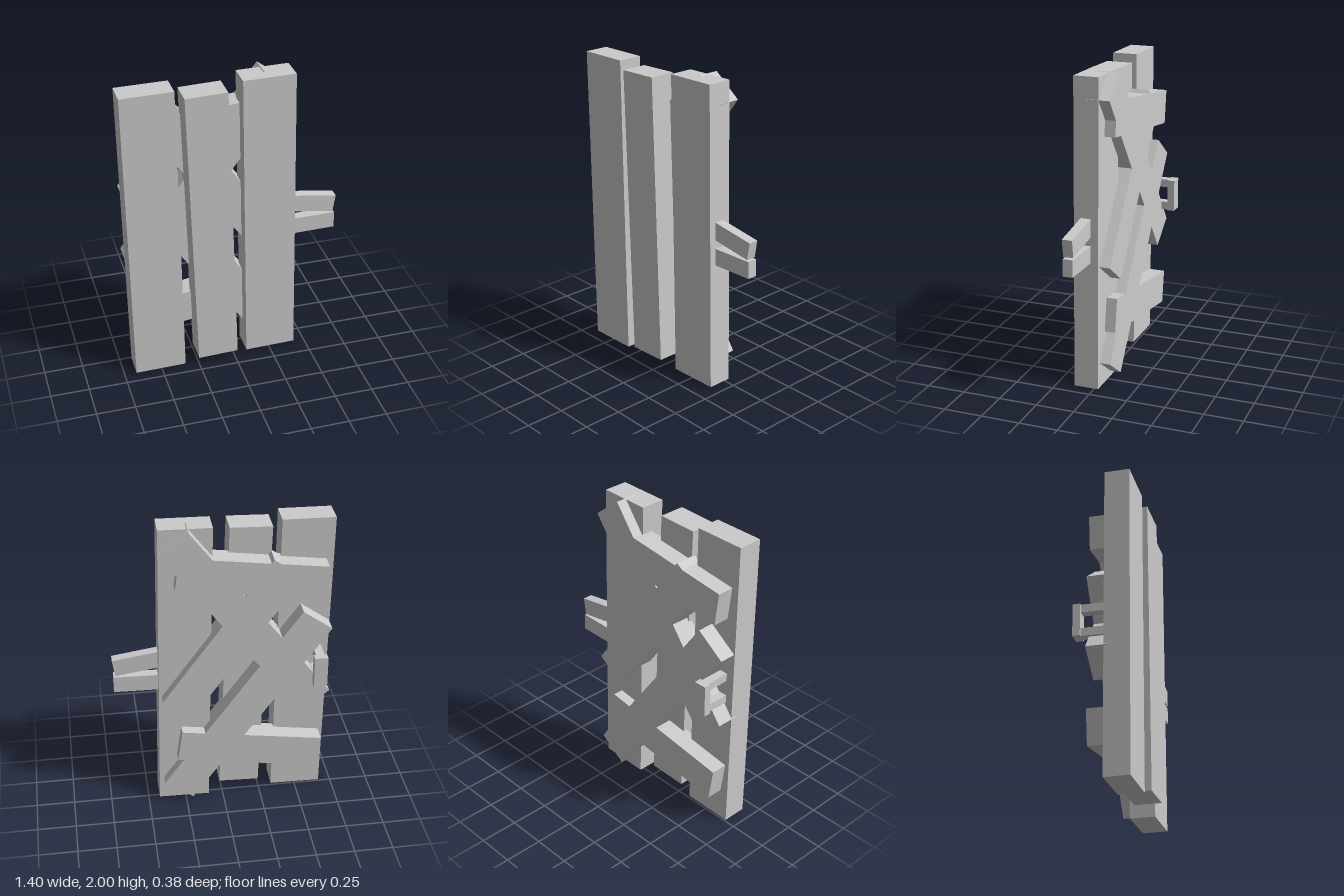
import * as THREE from 'three';

const material = new THREE.MeshStandardMaterial({ color: 0xcccccc, flatShading: true });

// Box running between two points in the XY plane, with a width and a depth range
function board(name, [x0, y0], [x1, y1], width, zBack, zFront) {
  const length = Math.hypot(x1 - x0, y1 - y0);
  const mesh = new THREE.Mesh(new THREE.BoxGeometry(length, width, zFront - zBack), material);
  mesh.position.set((x0 + x1) / 2, (y0 + y1) / 2, (zBack + zFront) / 2);
  mesh.rotation.z = Math.atan2(y1 - y0, x1 - x0);
  mesh.name = name;
  return mesh;
}

export function createModel() {
  const door = new THREE.Group();
  door.name = 'plankDoor';

  // Three crooked upright planks
  door.add(
    board('rightPlank', [-0.505, 0.004], [-0.535, 1.996], 0.332, 0.01, 0.17),
    board('middlePlank', [-0.118, 0.053], [-0.183, 1.957], 0.265, 0.02, 0.19),
    board('leftPlank', [0.26, 0.004], [0.223, 1.996], 0.333, -0.03, 0.13)
  );

  // Braces nailed across the back
  const braces = new THREE.Group();
  braces.name = 'backBraces';
  const ends = {
    risingBrace: [[-0.595, 0.743], [0.302, 1.932]],
    upperFallingBrace: [[-0.4, 1.72], [0.3, 0.752]],
    lowerFallingBrace: [[-0.592, 1.345], [0.3, 0.107]],
    upperCrossBrace: [[-0.635, 1.608], [0.285, 1.73]],
    lowerCrossBrace: [[-0.632, 0.326], [0.288, 0.464]],
  };
  for (const [name, [a, b]] of Object.entries(ends)) {
    braces.add(board(name, a, b, name.includes('Cross') ? 0.22 : 0.23, -0.1, 0.047));
  }
  door.add(braces);

  // Latch bars sticking out of the side
  door.add(
    board('upperLatchBar', [0.3, 1.085], [0.688, 1.027], 0.115, 0.02, 0.085),
    board('lowerLatchBar', [0.3, 0.897], [0.692, 0.905], 0.11, 0.02, 0.085)
  );

  // Pull handle on the back: a grip on two posts
  const handle = new THREE.Group();
  handle.name = 'handle';
  handle.add(board('grip', [-0.605, 0.91], [-0.605, 1.12], 0.086, -0.193, -0.146));
  for (const y of [0.91, 1.067]) {
    handle.add(board('post', [-0.605, y], [-0.605, y + 0.053], 0.055, -0.146, 0.02));
  }
  door.add(handle);

  return door;
}
